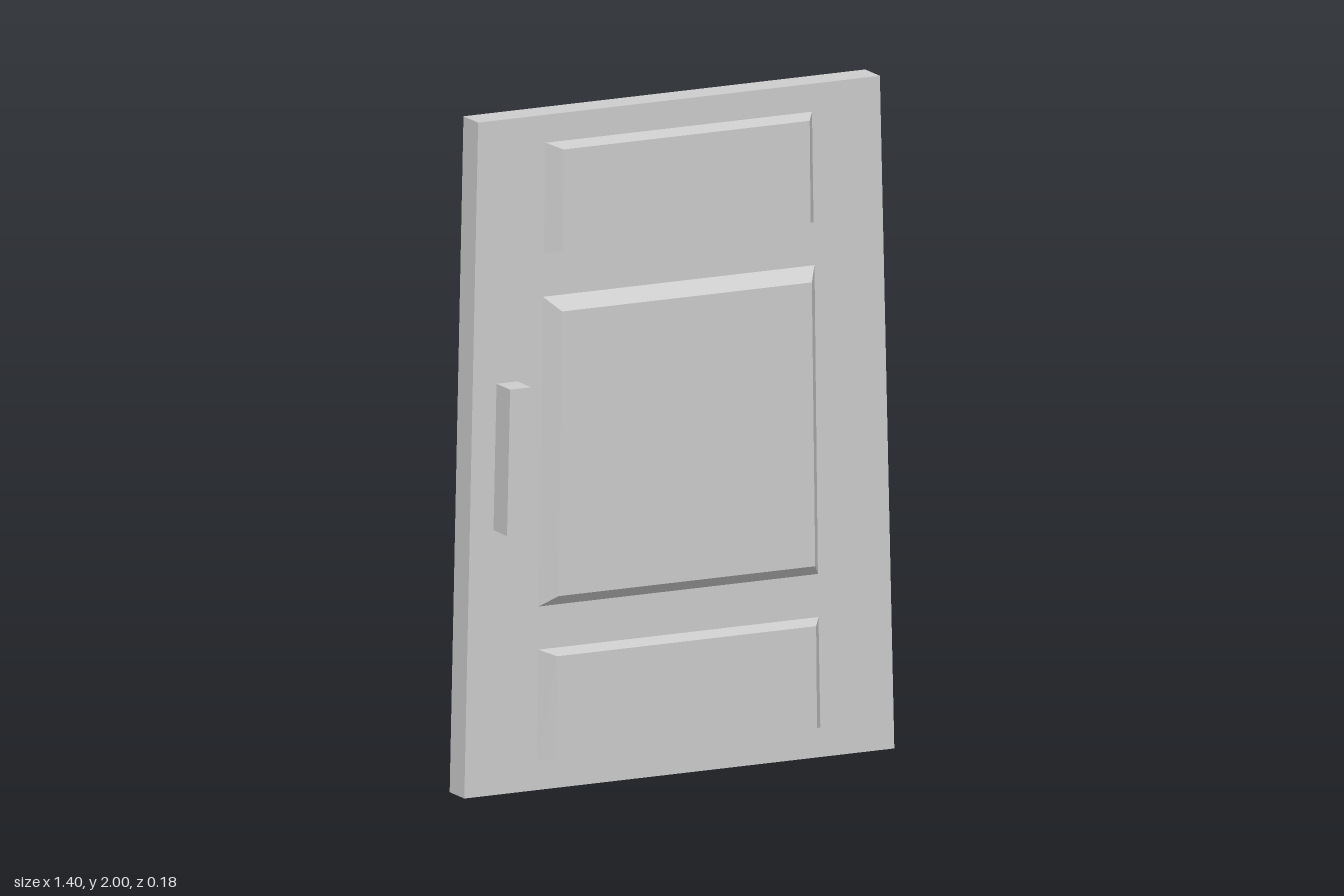
import * as THREE from 'three';

const FACE = 0.003; // z of the door's front surface
const material = new THREE.MeshStandardMaterial({ color: 0xcccccc, flatShading: true });

// Outline of a trapezoid: [bottom y, top y, bottom left, bottom right, top left, top right]
// A box is reshaped so its back and front follow the two given outlines.
function slab(name, zBack, zFront, back, front = back) {
  const geometry = new THREE.BoxGeometry(1, 1, 1);
  const p = geometry.attributes.position;
  for (let i = 0; i < p.count; i++) {
    const isFront = p.getZ(i) > 0;
    const [y0, y1, bl, br, tl, tr] = isFront ? front : back;
    const right = p.getX(i) > 0;
    const top = p.getY(i) > 0;
    const x = top ? (right ? tr : tl) : (right ? br : bl);
    p.setXYZ(i, x, top ? y1 : y0, isFront ? zFront : zBack);
  }
  geometry.computeVertexNormals();
  const mesh = new THREE.Mesh(geometry, material);
  mesh.name = name;
  return mesh;
}

export function createModel() {
  const door = new THREE.Group();
  door.name = 'door';

  // Leaf, slightly narrower at the top
  door.add(slab('doorLeaf', -0.089, FACE, [0, 2, -0.7, 0.7, -0.655, 0.653]));

  // Raised panels with bevelled edges: base outline, then face outline
  const panels = [
    ['topPanel', [1.589, 1.917, -0.441, 0.437, -0.435, 0.432], [1.601, 1.904, -0.406, 0.401, -0.403, 0.398]],
    ['middlePanel', [0.544, 1.461, -0.458, 0.451, -0.444, 0.44], [0.581, 1.424, -0.419, 0.416, -0.408, 0.405]],
    ['bottomPanel', [0.088, 0.416, -0.464, 0.459, -0.459, 0.453], [0.101, 0.403, -0.427, 0.422, -0.424, 0.419]],
  ];
  for (const [name, base, face] of panels) door.add(slab(name, FACE, 0.054, base, face));

  // Handle block, leaning with the door's edge
  door.add(slab('handle', FACE, 0.088, [0.786, 1.219, -0.605, -0.536, -0.595, -0.527]));

  return door;
}
